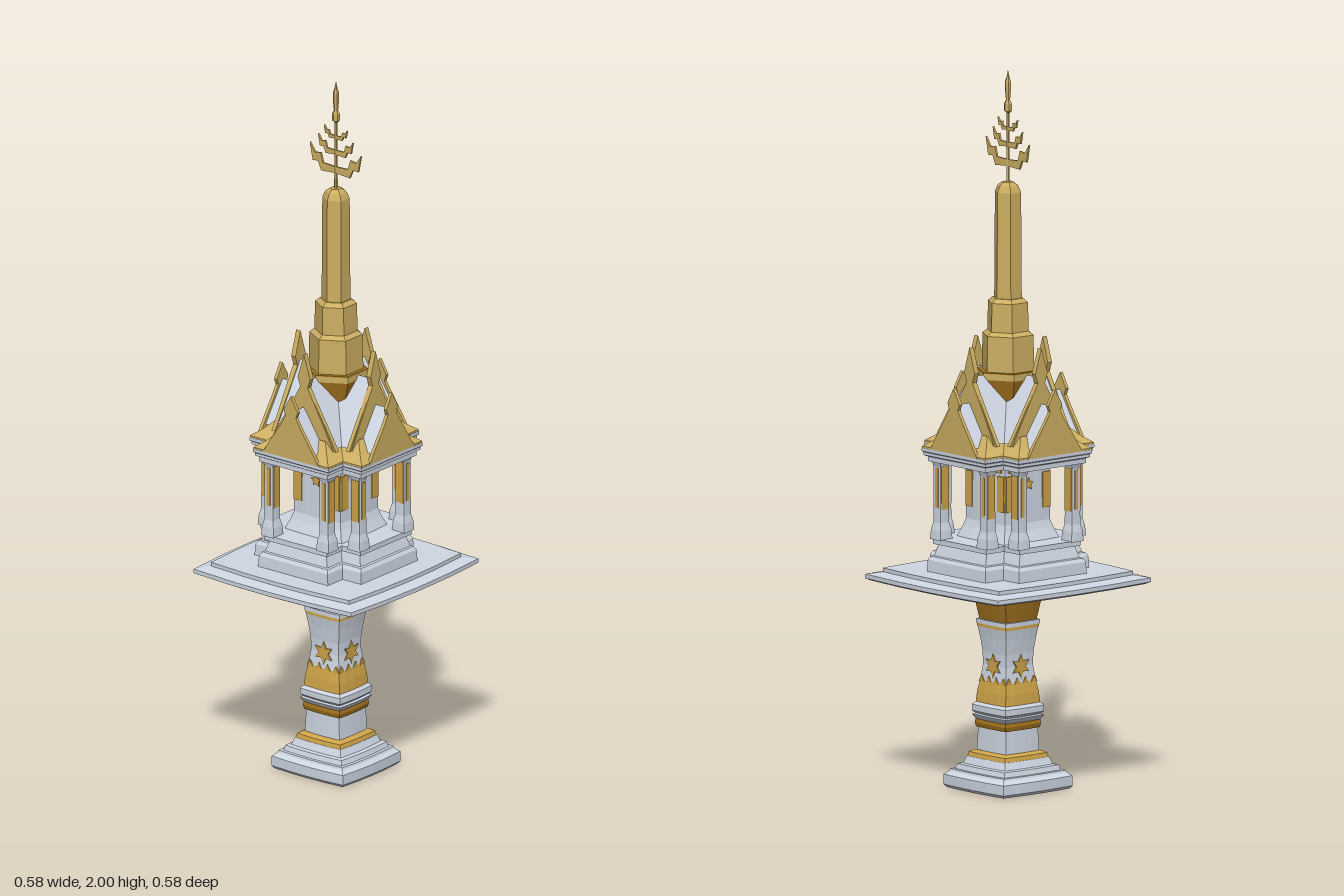
import * as THREE from 'three';

const mat = (name, color) => {
  const m = new THREE.MeshStandardMaterial({ color, flatShading: true });
  m.name = name;
  return m;
};

export function createModel() {
  const white = mat('pale stone', 0xd0d8e4);
  const gold = mat('gold', 0xcdaf62);
  const leaf = mat('gold leaf', 0xd0a548);
  const bronze = mat('dark gold', 0xa4731e);
  const root = new THREE.Group();
  root.name = 'spiritHouse';

  const add = (name, geometry, material, parent = root) => {
    const mesh = new THREE.Mesh(geometry, material);
    mesh.name = name;
    parent.add(mesh);
    return mesh;
  };
  const box = (name, w, h, d, x, y, z, material, parent) =>
    add(name, new THREE.BoxGeometry(w, h, d), material, parent).position.set(x, y, z);

  // Square outline with gently bowed sides
  const bowed = (h) => {
    const pts = [];
    for (let s = 0; s < 4; s++) {
      for (const t of [-1, -0.5, 0, 0.5]) {
        const x = h * (1 - 0.05 * t * t), z = h * 0.95 * t;
        const c = Math.round(Math.cos(s * Math.PI / 2)), n = Math.round(Math.sin(s * Math.PI / 2));
        pts.push([x * c - z * n, x * n + z * c]);
      }
    }
    return pts;
  };
  // Cross outline: arms reach a, and are 0.065 less in half width
  const cross = (a) => {
    const b = a - 0.065;
    return [[a, -b], [a, b], [b, b], [b, a], [-b, a], [-b, b], [-a, b], [-a, -b], [-b, -b], [-b, -a], [b, -a], [b, -b]];
  };
  // Skin between outlines at [y, size] levels, with caps
  const loft = (outline, levels) => {
    const pos = [];
    const rings = levels.map(([y, h]) => outline(h).map(([x, z]) => [x, y, z]));
    const n = rings[0].length;
    for (let r = 0; r + 1 < rings.length; r++) {
      const lo = rings[r], up = rings[r + 1];
      for (let i = 0; i < n; i++) {
        const j = (i + 1) % n;
        pos.push(...lo[i], ...up[i], ...up[j], ...lo[i], ...up[j], ...lo[j]);
      }
    }
    [[rings[0], false], [rings[rings.length - 1], true]].forEach(([ring, top]) => {
      const flat = ring.map((p) => new THREE.Vector2(p[0], p[2]));
      for (const [a, b, c] of THREE.ShapeUtils.triangulateShape(flat, [])) {
        const ccw = THREE.ShapeUtils.area([flat[a], flat[b], flat[c]]) > 0;
        pos.push(...(ccw === top ? [a, c, b] : [a, b, c]).flatMap((i) => ring[i]));
      }
    });
    const g = new THREE.BufferGeometry();
    g.setAttribute('position', new THREE.Float32BufferAttribute(pos, 3));
    g.computeVertexNormals();
    return g;
  };
  const slab = (pts, z0, z1) => {
    const g = new THREE.ExtrudeGeometry(new THREE.Shape(pts.map((p) => new THREE.Vector2(...p))),
      { depth: z1 - z0, bevelEnabled: false });
    return g.translate(0, 0, z0);
  };
  // Symmetric outline from its right half, listed bottom to tip
  const mirror = (half) => [...half, ...half.filter((p) => p[0] > 0).reverse().map(([x, y]) => [-x, y])];
  const star = (r, n) => Array.from({ length: n * 2 }, (_, i) => {
    const q = i % 2 ? r * 0.5 : r, a = Math.PI / 2 + i * Math.PI / n;
    return [q * Math.cos(a), q * Math.sin(a)];
  });

  // Pedestal, bottom to top
  add('pedestalFoot', loft(bowed, [[0, 0.126], [0.008, 0.132], [0.036, 0.132], [0.046, 0.12], [0.052, 0.118], [0.052, 0.108],
    [0.066, 0.104], [0.068, 0.092], [0.088, 0.084]]), white);
  add('footTrim', loft(bowed, [[0.088, 0.083], [0.1, 0.08], [0.106, 0.068]]), leaf);
  add('lowerShaft', loft(bowed, [[0.1, 0.064], [0.17, 0.061]]), white);
  add('lowerBand', loft(bowed, [[0.17, 0.065], [0.182, 0.068], [0.192, 0.066]]), bronze);
  add('collar', loft(bowed, [[0.192, 0.066], [0.205, 0.074], [0.207, 0.066], [0.215, 0.074], [0.232, 0.074], [0.24, 0.066]]), white);
  add('shaftBand', loft(bowed, [[0.24, 0.066], [0.27, 0.063], [0.3, 0.057]]), leaf);
  add('upperShaft', loft(bowed, [[0.3, 0.057], [0.345, 0.051], [0.38, 0.052], [0.42, 0.057], [0.45, 0.062]]), white);
  add('shaftTopTrim', loft(bowed, [[0.45, 0.063], [0.459, 0.063]]), leaf);
  add('neck', loft(bowed, [[0.459, 0.065], [0.471, 0.065], [0.471, 0.058]]), white);
  add('bracket', loft(bowed, [[0.468, 0.058], [0.52, 0.067], [0.575, 0.075]]), bronze);

  // Platform
  add('platform', loft(bowed, [[0.572, 0.28], [0.578, 0.292], [0.59, 0.292], [0.597, 0.256], [0.608, 0.256], [0.608, 0.25]]), white);

  // Shrine plinth, hall and entablature
  add('plinth', loft(cross, [[0.606, 0.188], [0.64, 0.186], [0.65, 0.18], [0.652, 0.174], [0.685, 0.164], [0.685, 0.176], [0.7, 0.176]]), white);
  add('hall', loft(bowed, [[0.7, 0.105], [0.73, 0.092], [0.75, 0.086], [0.925, 0.084]]), white);
  add('entablature', loft(cross, [[0.915, 0.186], [0.928, 0.186], [0.932, 0.194], [0.94, 0.194], [0.943, 0.198], [0.952, 0.198]]), white);

  // Corner posts, gilded most broadly on the faces across each arm
  for (const sx of [-1, 1]) for (const sz of [-1, 1]) for (const [px, pz] of [[0.158, 0.097], [0.097, 0.158]]) {
    const post = new THREE.Group();
    post.name = 'post';
    post.position.set(px * sx, 0, pz * sz);
    if (px < pz) post.rotation.y = Math.PI / 2;
    add('postShaft', loft(bowed, [[0.698, 0.023], [0.725, 0.021], [0.745, 0.016], [0.9, 0.015], [0.918, 0.021]]), white, post);
    for (const s of [-1, 1]) {
      box('postInlay', 0.026, 0.12, 0.003, 0, 0.842, s * 0.0155, leaf, post);
      box('postSideInlay', 0.003, 0.11, 0.012, s * 0.0155, 0.842, 0, leaf, post);
    }
    root.add(post);
  }

  // Hipped gold skirt below the gabled roofs
  add('roofSkirt', loft(cross, [[0.95, 0.197], [0.957, 0.197], [0.975, 0.172], [1.005, 0.142]]), gold);

  // Everything that repeats on the four sides
  const outerGable = mirror([[0.098, 0.952], [0.074, 0.99], [0.036, 1.045], [0.018, 1.075], [0.025, 1.092], [0, 1.135]]);
  const innerGable = mirror([[0.11, 0.965], [0.094, 1.0], [0.064, 1.055], [0.036, 1.105], [0.013, 1.145], [0.022, 1.172], [0, 1.242]]);
  for (let i = 0; i < 4; i++) {
    const side = new THREE.Group();
    side.name = 'shrineSide';
    side.rotation.y = i * Math.PI / 2;
    add('outerRoof', slab(mirror([[0.074, 0.975], [0, 1.088]]), 0, 0.19), white, side);
    add('outerGable', slab(outerGable, 0.188, 0.198), gold, side);
    add('innerRoof', slab(mirror([[0.104, 0.985], [0, 1.16]]), 0, 0.135), white, side);
    add('innerGable', slab(innerGable, 0.125, 0.14), gold, side);
    add('innerRoofEdge', slab(mirror([[0.112, 0.98], [0, 1.165]]), 0.125, 0.137), gold, side);
    // Painted ornaments
    add('shaftFlower', slab(star(0.033, 6), 0.052, 0.056).translate(0, 0.345, 0), leaf, side);
    for (const x of [-0.045, -0.015, 0.015, 0.045]) {
      add('shaftBandPetal', slab([[x - 0.011, 0.298], [x + 0.011, 0.298], [x, 0.315]], 0.053, 0.058), leaf, side);
    }
    add('wallFlower', slab(star(0.018, 5), 0.085, 0.088).translate(0, 0.857, 0), leaf, side);
    box('wallFrieze', 0.14, 0.018, 0.006, 0, 0.903, 0.0845, leaf, side);
    for (const s of [-1, 1]) box('wallInlay', 0.028, 0.1, 0.006, s * 0.066, 0.835, 0.0825, leaf, side);
    root.add(side);
  }

  // Hexagonal spire with points facing front and back
  const hex = (name, r0, r1, y0, y1, material) =>
    add(name, new THREE.CylinderGeometry(r1, r0, y1 - y0, 6).translate(0, (y0 + y1) / 2, 0), material);
  hex('spireBase', 0.05, 0.089, 1.02, 1.146, bronze);
  hex('spireBaseRim', 0.09, 0.09, 1.146, 1.163, gold);
  hex('spireBaseLedge', 0.09, 0.089, 1.163, 1.166, bronze);
  hex('spireTierLow', 0.076, 0.074, 1.166, 1.265, gold);
  hex('spireTierLowCap', 0.074, 0.06, 1.265, 1.275, gold);
  hex('spireTierHigh', 0.06, 0.058, 1.275, 1.355, gold);
  hex('spireTierHighCap', 0.058, 0.045, 1.355, 1.366, gold);
  hex('spireShaft', 0.04, 0.038, 1.366, 1.66, gold);
  hex('spireShoulder', 0.038, 0.03, 1.66, 1.678, gold);
  hex('spireCap', 0.03, 0.016, 1.678, 1.688, gold);

  // Finial rod, spindle tip and curled branches
  hex('finialRod', 0.005, 0.004, 1.685, 1.89, gold);
  add('finialTip', new THREE.LatheGeometry([[0, 1.875], [0.011, 1.885], [0.011, 1.905], [0.006, 1.915], [0.009, 1.95],
    [0.009, 1.965], [0.004, 1.98], [0, 2]].map((p) => new THREE.Vector2(...p)), 6), gold);
  const curl = [[0, -0.006], [0.05, -0.01], [0.062, 0.016], [0.08, 0.014], [0.09, 0.064], [0.072, 0.038],
    [0.052, 0.042], [0.044, 0.014], [0, 0.012]];
  [[1.738, 1], [1.79, 0.68], [1.835, 0.45]].forEach(([y, s]) => {
    for (const m of [-1, 1]) {
      const pts = curl.map(([x, v]) => [x * s * m, y + v * s]);
      add('finialBranch', slab(pts, -0.003, 0.003), gold);
    }
  });

  return root;
}
